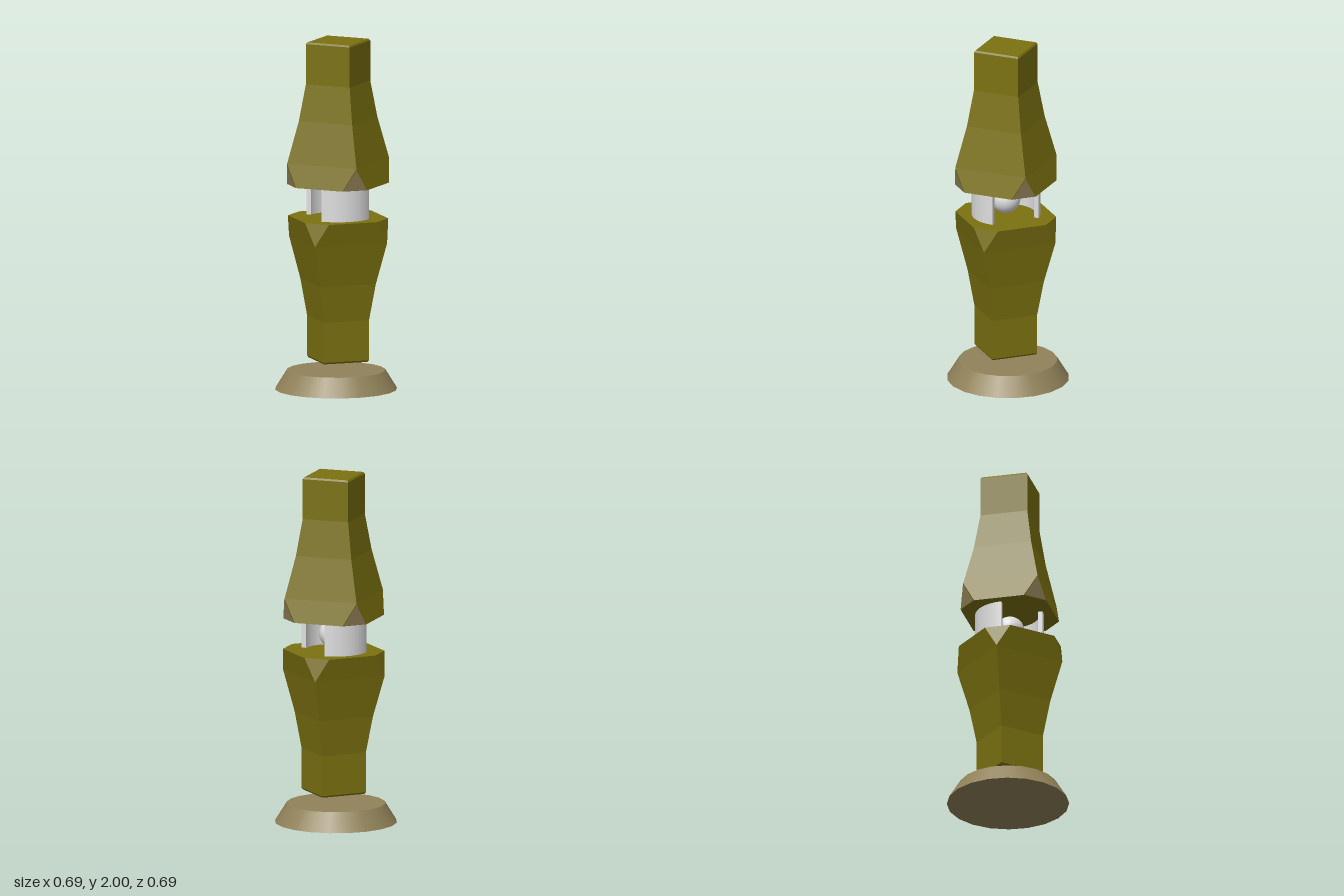
import * as THREE from 'three';

const olive = new THREE.MeshStandardMaterial({ color: 0x7b7110 });
olive.name = 'olive';
const stone = new THREE.MeshStandardMaterial({ color: 0x918259 });
stone.name = 'stone';
const white = new THREE.MeshStandardMaterial({ color: 0xdedede });
white.name = 'white';

const CENTRE_X = 0.0175;
const RAD = Math.PI / 180;

// Square sections: height, half side, corner cut
const PROFILE = [
  [1.18, 0.25, 0.105], [1.31, 0.217, 0], [1.55, 0.167, 0],
  [1.76, 0.137, 0], [1.99, 0.137, 0], [2, 0.13, 0],
];

function turn(x, y, z, quarter) {
  for (let i = 0; i < quarter; i++) [x, z] = [-z, x];
  return new THREE.Vector3(x, y, z);
}

function trianglesToGeometry(points) {
  const geometry = new THREE.BufferGeometry().setFromPoints(points);
  geometry.computeVertexNormals();
  return geometry;
}

// Square tapering block whose wide end has cut corners
function blockGeometry() {
  const rings = PROFILE.map(([y, h, c]) => {
    const ring = [];
    for (let q = 0; q < 4; q++) ring.push(turn(h, y, h - c, q), turn(h - c, y, h, q));
    return ring;
  });
  const points = [];
  const add = (a, b, c) => {
    if (new THREE.Triangle(a, b, c).getArea() > 1e-7) points.push(a, b, c);
  };
  for (let r = 0; r < rings.length - 1; r++) {
    const low = rings[r], high = rings[r + 1];
    for (let i = 0; i < 8; i++) {
      const n = (i + 1) % 8;
      add(low[n], low[i], high[i]);
      add(low[n], high[i], high[n]);
    }
  }
  const bottom = rings[0], top = rings[rings.length - 1];
  for (let i = 1; i < 7; i++) {
    add(bottom[0], bottom[i], bottom[i + 1]);
    add(top[0], top[i + 1], top[i]);
  }
  return trianglesToGeometry(points);
}

// Thin triangular inlay on each cut corner
function inlayGeometry(scale) {
  const [[y0, h0, c0], [y1, h1]] = PROFILE;
  const points = [];
  for (let q = 0; q < 4; q++) {
    const corners = [turn(h1, y1, h1, q), turn(h0 - c0, y0, h0, q), turn(h0, y0, h0 - c0, q)];
    const triangle = new THREE.Triangle(...corners);
    const middle = triangle.getMidpoint(new THREE.Vector3());
    const normal = triangle.getNormal(new THREE.Vector3());
    for (const p of corners) points.push(p.lerp(middle, 1 - scale).addScaledVector(normal, 0.003));
  }
  return trianglesToGeometry(points);
}

function makeBlock(name, inlayMaterial, inlayScale) {
  const group = new THREE.Group();
  group.name = name;
  const body = new THREE.Mesh(blockGeometry(), olive);
  body.name = name + 'Body';
  const inlays = new THREE.Mesh(inlayGeometry(inlayScale), inlayMaterial);
  inlays.name = name + 'CornerInlays';
  group.add(body, inlays);
  group.position.x = CENTRE_X;
  group.rotation.y = Math.PI / 8;
  return group;
}

// Curved wall between two angles, measured from +x towards +z
function makeShield(name, from, to) {
  const shape = new THREE.Shape();
  shape.absarc(0, 0, 0.195, -to * RAD, -from * RAD, false);
  shape.absarc(0, 0, 0.168, -from * RAD, -to * RAD, true);
  const geometry = new THREE.ExtrudeGeometry(shape, { depth: 0.2, bevelEnabled: false, curveSegments: 24 });
  geometry.rotateX(-Math.PI / 2);
  const mesh = new THREE.Mesh(geometry, white);
  mesh.name = name;
  mesh.position.set(CENTRE_X - 0.003, 0.985, 0);
  return mesh;
}

export function createModel() {
  const model = new THREE.Group();
  model.name = 'pillar';

  // Round foot
  const foot = new THREE.Mesh(new THREE.CylinderGeometry(0.28, 0.347, 0.108, 20), stone);
  foot.name = 'foot';
  foot.position.y = 0.054;
  model.add(foot);

  // Two blocks, the lower one turned upside down
  const upper = makeBlock('upperBlock', stone, 0.93);
  const lower = makeBlock('lowerBlock', olive, 0.72);
  lower.rotation.x = Math.PI;
  lower.position.y = 2.168;
  model.add(upper, lower);

  // Core between the blocks
  const core = new THREE.Mesh(new THREE.SphereGeometry(0.083, 32, 20), white);
  core.name = 'coreSphere';
  core.position.set(CENTRE_X, 1.083, 0);
  model.add(core, makeShield('leftShield', -23, 70), makeShield('rightShield', 157, 244));

  return model;
}
